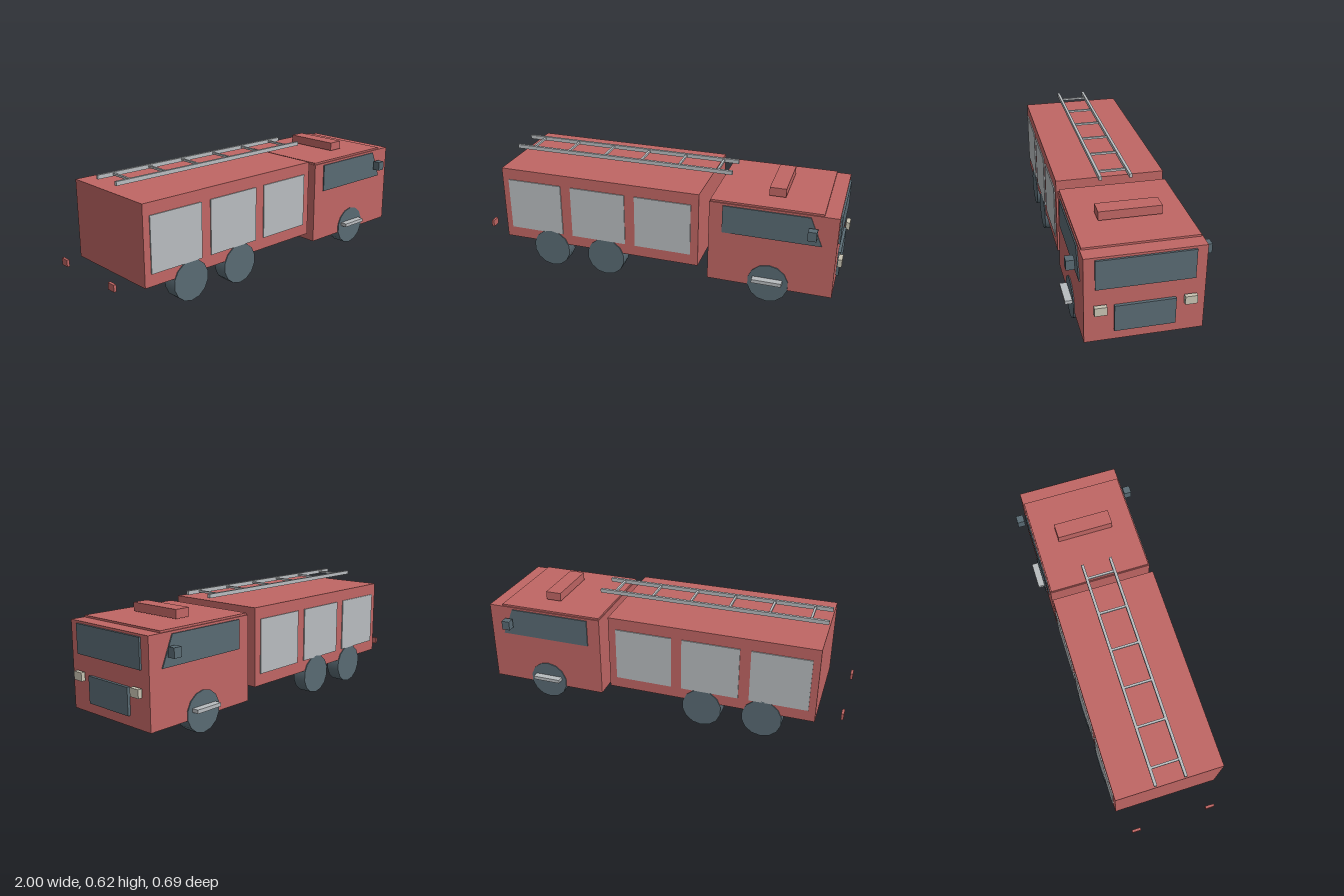
import * as THREE from 'three';

const mat = (name, color) => Object.assign(new THREE.MeshStandardMaterial({ color }), { name });

export function createModel() {
  const truck = new THREE.Group();
  truck.name = 'fireTruck';
  const red = mat('red paint', 0xc06664);
  const dark = mat('dark glass and rubber', 0x596a73);
  const silver = mat('silver', 0xb8bcbf);
  const cream = mat('lamp cream', 0xc8c3b2);

  const add = (name, geometry, material) => {
    const mesh = new THREE.Mesh(geometry, material);
    mesh.name = name;
    truck.add(mesh);
    return mesh;
  };
  // Box given by its extents on each axis
  const box = (name, material, [x0, x1], [y0, y1], [z0, z1]) => {
    const mesh = add(name, new THREE.BoxGeometry(x1 - x0, y1 - y0, z1 - z0), material);
    mesh.position.set((x0 + x1) / 2, (y0 + y1) / 2, (z0 + z1) / 2);
    return mesh;
  };
  // The same box on both flanks
  const pair = (name, material, xs, ys, [z0, z1]) => {
    box(name, material, xs, ys, [z0, z1]);
    box(name, material, xs, ys, [-z1, -z0]);
  };

  // Cab and rear body
  box('cab', red, [0.316, 0.97], [0.082, 0.532], [-0.285, 0.285]);
  box('cabRoof', red, [0.32, 0.895], [0.532, 0.542], [-0.279, 0.279]);
  box('roofBeacon', red, [0.598, 0.684], [0.548, 0.594], [-0.156, 0.156]);
  box('rearBody', red, [-0.862, 0.262], [0.143, 0.56], [-0.285, 0.285]);

  // Roller shutters
  for (const x of [-0.67, -0.302, 0.065]) {
    pair('shutter', silver, [x - 0.155, x + 0.155], [0.206, 0.497], [0.284, 0.2905]);
  }

  // Wheels
  const wheelGeometry = new THREE.CylinderGeometry(0.1075, 0.1075, 0.077, 14).rotateX(Math.PI / 2);
  for (const x of [-0.588, -0.262, 0.64]) {
    for (const side of [1, -1]) {
      add('wheel', wheelGeometry, dark).position.set(x, 0.1075, side * 0.252);
    }
  }

  // Slanted side windows
  const windowShape = new THREE.Shape([
    [0.387, 0.369], [0.896, 0.369], [0.832, 0.52], [0.387, 0.52],
  ].map(([x, y]) => new THREE.Vector2(x, y)));
  const windowGeometry = new THREE.ExtrudeGeometry(windowShape, { depth: 0.007, bevelEnabled: false });
  add('sideWindow', windowGeometry, dark).position.z = 0.284;
  add('sideWindow', windowGeometry, dark).position.z = -0.291;

  // Cab front
  box('windscreen', dark, [0.968, 0.98], [0.369, 0.52], [-0.233, 0.233]);
  box('grille', dark, [0.968, 0.985], [0.136, 0.274], [-0.145, 0.145]);
  pair('headlight', cream, [0.978, 1], [0.242, 0.285], [0.182, 0.241]);

  // Mirrors, steps and tail lights
  pair('mirror', dark, [0.827, 0.872], [0.42, 0.47], [0.303, 0.344]);
  pair('step', silver, [0.56, 0.716], [0.12, 0.139], [0.285, 0.327]);
  pair('tailLight', red, [-1, -0.986], [0.15, 0.186], [0.184, 0.232]);

  // Roof ladder
  pair('ladderRail', silver, [-0.862, 0.385], [0.602, 0.623], [0.071, 0.086]);
  for (let i = 0; i < 6; i++) {
    const x = -0.77 + i * 0.2145;
    box('ladderRung', silver, [x - 0.006, x + 0.006], [0.607, 0.618], [-0.074, 0.074]);
  }

  return truck;
}
